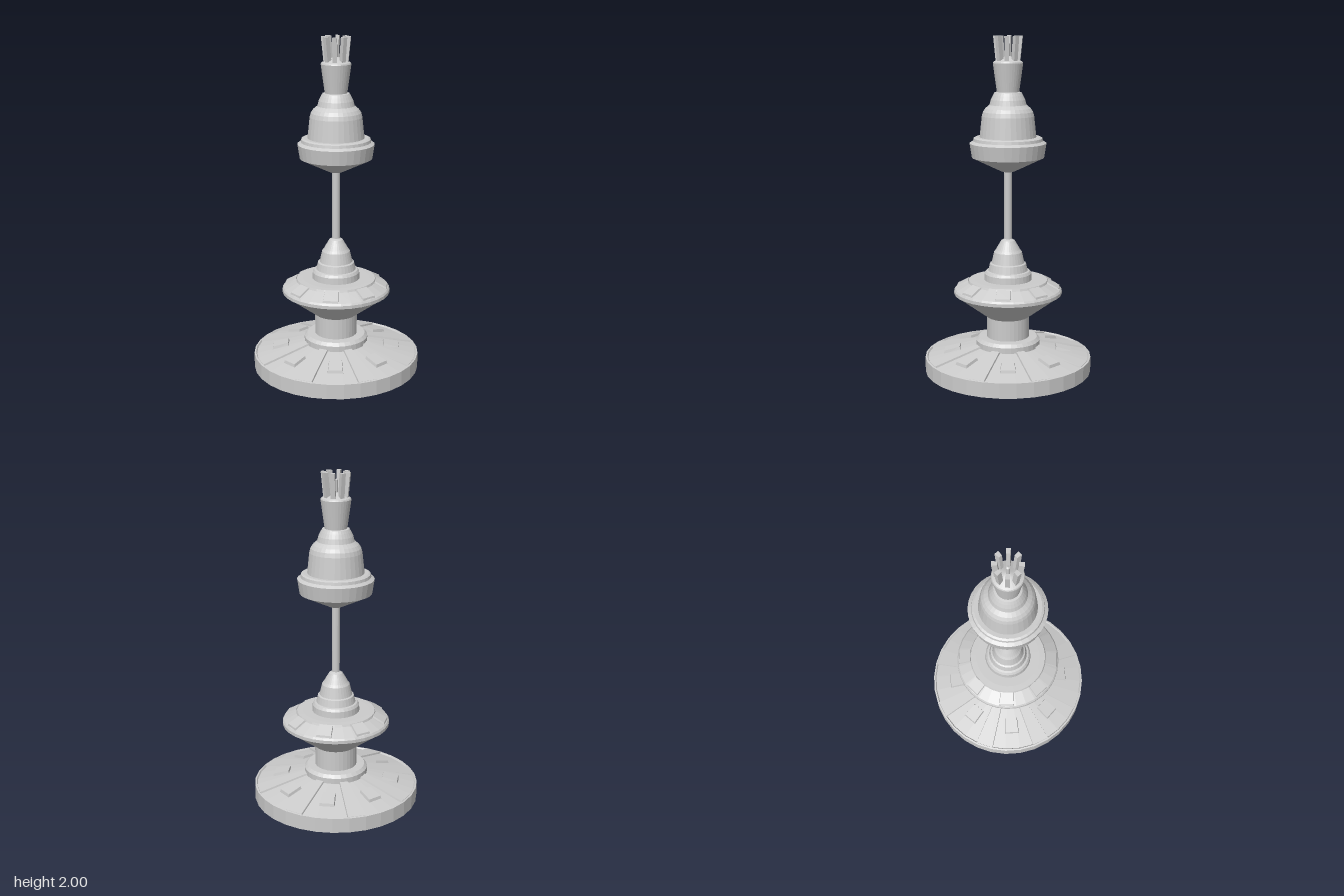
import * as THREE from 'three';

const SIDES = 32;
const mat = new THREE.MeshStandardMaterial({ color: 0xcccccc, flatShading: true });

// Turned part from [radius, height] pairs, listed bottom to top
function turned(name, profile) {
  const pts = profile.map(([r, y]) => new THREE.Vector2(r, y));
  const mesh = new THREE.Mesh(new THREE.LatheGeometry(pts, SIDES), mat);
  mesh.name = name;
  return mesh;
}

// Six-sided block from four bottom and four top corners
function block(bottom, top) {
  const quads = [[0, 1, 2, 3], [7, 6, 5, 4]];
  for (let i = 0; i < 4; i++) {
    const j = (i + 1) % 4;
    quads.push([j, i, i + 4, j + 4]);
  }
  const geo = new THREE.BufferGeometry();
  geo.setAttribute('position', new THREE.Float32BufferAttribute([...bottom, ...top].flat(), 3));
  geo.setIndex(quads.flatMap(([a, b, c, d]) => [a, b, c, a, c, d]));
  const flat = geo.toNonIndexed();
  flat.computeVertexNormals();
  return flat;
}

// Four corners around the +x axis: inner radius r0, outer r1, half widths w0, w1
const corners = (r0, r1, w0, w1, y0, y1) =>
  [[r0, y0, -w0], [r1, y1, -w1], [r1, y1, w1], [r0, y0, w0]];

// Bevelled plate lying on a conical slope: height(r), thickness, bevel
function plate(r0, r1, w0, w1, height, thick, bevel) {
  const a = r0 + bevel, b = r1 - bevel;
  return block(
    corners(r0, r1, w0, w1, height(r0) - 0.015, height(r1) - 0.015),
    corners(a, b, w0 - bevel, w1 - bevel, height(a) + thick, height(b) + thick));
}

// Eight copies of a geometry around the axis, first one at the given angle
function ringOf(name, geo, degrees) {
  const group = new THREE.Group();
  group.name = name + 's';
  for (let i = 0; i < 8; i++) {
    const mesh = new THREE.Mesh(geo, mat);
    mesh.name = name;
    mesh.rotation.y = THREE.MathUtils.degToRad(degrees + i * 45);
    group.add(mesh);
  }
  return group;
}

export function createModel() {
  const model = new THREE.Group();
  model.name = 'tower';

  // Broad base with a recessed sloping deck, collar and column
  model.add(turned('base', [
    [0, 0], [0.5, 0], [0.5, 0.09], [0.49, 0.0925], [0.484, 0.084], [0.2, 0.155], [0.19, 0.157]]));
  model.add(turned('collar', [
    [0.192, 0.15], [0.192, 0.19], [0.175, 0.208], [0.127, 0.21]]));
  model.add(turned('column', [[0.127, 0.2], [0.127, 0.335]]));

  // Radial ribs between the deck panels, and a raised box in each panel
  const deck = (r) => 0.08 + 0.25 * (0.5 - r);
  model.add(ringOf('deckRib', plate(0.18, 0.492, 0.03, 0.06, deck, 0.01, 0.006), 50.625));
  model.add(ringOf('deckBox', plate(0.285, 0.39, 0.043, 0.049, deck, 0.016, 0.007), 73.125));

  // Flared disc with pads on its upper slope
  model.add(turned('disc', [
    [0.127, 0.335], [0.315, 0.475], [0.323, 0.478], [0.323, 0.497], [0.315, 0.508],
    [0.24, 0.548], [0.235, 0.56], [0.2, 0.562], [0.14, 0.562]]));
  const slope = (r) => 0.548 - 0.533 * (r - 0.24);
  model.add(ringOf('discPad', plate(0.232, 0.312, 0.044, 0.049, slope, 0.009, 0.006), 67.5));

  // Stepped lower spire and thin mast
  model.add(turned('lowerSpire', [
    [0.143, 0.555], [0.14, 0.6], [0.13, 0.615], [0.118, 0.618], [0.108, 0.66], [0.098, 0.665],
    [0.083, 0.73], [0.072, 0.745], [0.058, 0.77], [0.04, 0.8], [0.022, 0.81]]));
  model.add(turned('mast', [[0.023, 0.8], [0.023, 1.22]]));

  // Upper pod: underside cone, rim, bell and shoulders
  model.add(turned('pod', [
    [0.02, 1.21], [0.04, 1.215], [0.205, 1.295], [0.212, 1.298], [0.225, 1.382], [0.205, 1.395],
    [0.202, 1.412], [0.19, 1.418], [0.166, 1.418]]));
  model.add(turned('bell', [
    [0.167, 1.41], [0.153, 1.54], [0.146, 1.565], [0.132, 1.585], [0.108, 1.605], [0.1, 1.635],
    [0.088, 1.66], [0.078, 1.677], [0.062, 1.68]]));

  // Flared neck with a conical cap and small needle
  model.add(turned('neck', [
    [0.064, 1.67], [0.088, 1.845], [0.084, 1.853], [0.011, 1.885]]));
  model.add(turned('needle', [[0.011, 1.88], [0.011, 1.955], [0, 1.96]]));

  // Crown of eight upright fins, leaning outward
  const fin = block(
    corners(0.04, 0.07, 0.01, 0.013, 1.85, 1.85),
    corners(0.055, 0.085, 0.01, 0.013, 2, 2));
  model.add(ringOf('crownFin', fin, 22.5));

  return model;
}
